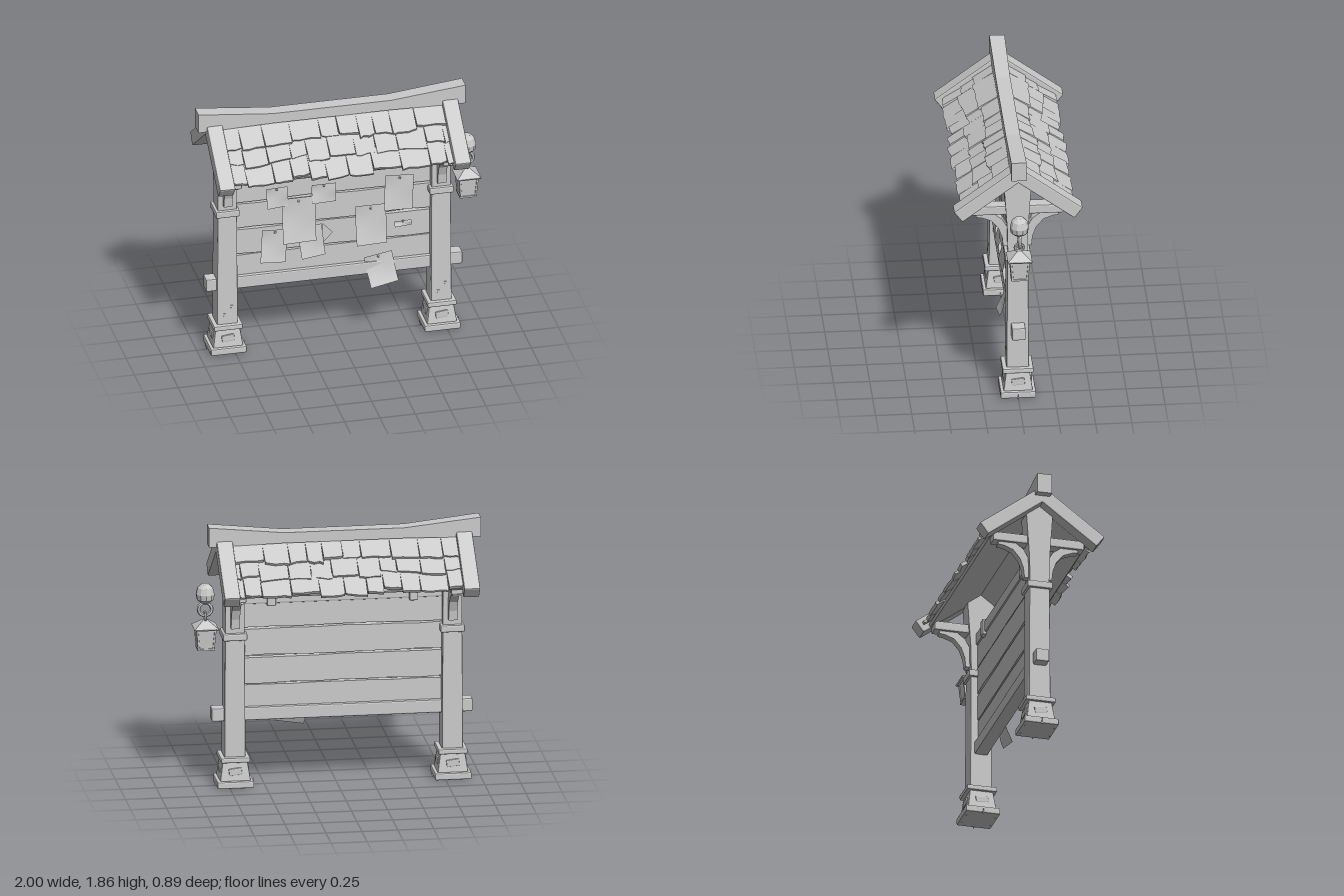
import * as THREE from 'three';
import { RoundedBoxGeometry } from 'three/addons/geometries/RoundedBoxGeometry.js';

const wood = new THREE.MeshStandardMaterial({ color: 0xcccccc, flatShading: true });
const sheet = new THREE.MeshStandardMaterial({ color: 0xcccccc, side: THREE.DoubleSide });

let seed = 7;
const rand = (a, b) => {
  seed = (seed * 16807) % 2147483647;
  return a + (b - a) * (seed / 2147483647);
};

function add(parent, name, geometry, x = 0, y = 0, z = 0, material = wood) {
  const mesh = new THREE.Mesh(geometry, material);
  mesh.name = name;
  mesh.position.set(x, y, z);
  parent.add(mesh);
  return mesh;
}

// Softly chamfered block from y0 to y1, its top scaled by taper
function block(parent, name, w, d, y0, y1, x = 0, z = 0, taper = 1) {
  const h = y1 - y0;
  const geo = new RoundedBoxGeometry(w, h, d, 1, Math.min(0.01, h / 4, w / 4, d / 4));
  const p = geo.attributes.position;
  for (let i = 0; i < p.count; i++) {
    const s = 1 + (taper - 1) * (p.getY(i) / h + 0.5);
    p.setX(i, p.getX(i) * s);
    p.setZ(i, p.getZ(i) * s);
  }
  geo.computeVertexNormals();
  return add(parent, name, geo, x, (y0 + y1) / 2, z);
}

const shapeOf = (pts) => new THREE.Shape(pts.map(([x, y]) => new THREE.Vector2(x, y)));

// Side profile given as [z, y], extruded along x about its centre
function sideProfile(pts, width) {
  const geo = new THREE.ExtrudeGeometry(shapeOf(pts), { depth: width, bevelEnabled: false });
  return geo.rotateY(-Math.PI / 2).translate(width / 2, 0, 0);
}

function buildPost(x) {
  const post = new THREE.Group();
  post.name = 'post';
  post.position.x = x;
  // Stepped footing
  block(post, 'footSlab', 0.255, 0.245, 0.01, 0.06);
  block(post, 'footBlock', 0.215, 0.205, 0.055, 0.195, 0, 0, 0.8);
  block(post, 'footCap', 0.205, 0.215, 0.19, 0.228);
  // Worn stones set in the footing faces
  for (let i = 0; i < 4; i++) {
    const a = (i * Math.PI) / 2;
    const stone = add(post, 'footStone', new RoundedBoxGeometry(0.09, 0.05, 0.02, 1, 0.006),
      Math.sin(a) * 0.093, 0.125, Math.cos(a) * 0.09);
    stone.rotation.set(0, a, 0.12);
  }
  // Shaft, collar and flared head
  block(post, 'shaft', 0.148, 0.156, 0.2, 1.1, 0, 0, 0.93);
  block(post, 'collar', 0.17, 0.18, 1.06, 1.112);
  add(post, 'postHead', sideProfile(
    [[-0.068, 1.1], [0.068, 1.1], [0.072, 1.3], [0.095, 1.64], [0, 1.72], [-0.095, 1.64], [-0.072, 1.3]], 0.132));
  // Tie beam with a curved brace on each side
  block(post, 'tieBeam', 0.09, 0.65, 1.4, 1.468);
  for (const s of [1, -1]) {
    const pts = [[0.06, 1.15], [0.098, 1.15], [0.105, 1.22], [0.13, 1.29], [0.18, 1.35], [0.245, 1.375],
      [0.285, 1.38], [0.285, 1.405], [0.165, 1.405], [0.105, 1.36], [0.06, 1.28]];
    add(post, 'brace', sideProfile(pts.map(([z, y]) => [z * s, y]), 0.06));
  }
  // Chips on the shaft and grass at the foot
  for (const [cx, cy] of [[-0.02, 0.3], [0.03, 0.36]])
    add(post, 'chip', new THREE.DodecahedronGeometry(0.017), cx, cy, 0.073).scale.z = 0.5;
  for (let i = 0; i < 6; i++) {
    const a = i * 1.05 + 0.5;
    const blade = add(post, 'grassBlade', new THREE.ConeGeometry(0.006, 0.05, 3),
      Math.sin(a) * 0.135, 0.03, Math.cos(a) * 0.125);
    blade.rotation.set(Math.cos(a) * 0.4, 0, -Math.sin(a) * 0.4);
  }
  return post;
}

// Plank with ragged long edges
function plank(x0, x1, y0, y1, depth) {
  const low = [], high = [];
  for (let i = 0; i <= 8; i++) {
    const x = x0 + ((x1 - x0) * i) / 8;
    low.push([x, y0 + rand(-0.004, 0.006)]);
    high.unshift([x, y1 + rand(-0.006, 0.004)]);
  }
  return new THREE.ExtrudeGeometry(shapeOf([...low, ...high]), { depth, bevelEnabled: false })
    .translate(0, 0, -depth / 2);
}

// One roof slope; local +z runs down the slope, +y is the outward normal
function buildSlope(side) {
  seed = 41;
  const turn = new THREE.Group();
  turn.name = side > 0 ? 'frontSlope' : 'backSlope';
  turn.rotation.y = side > 0 ? 0 : Math.PI;
  const slope = new THREE.Group();
  slope.position.y = 1.745;
  slope.rotation.x = 0.64;
  turn.add(slope);
  block(slope, 'roofPanel', 1.62, 0.44, -0.045, -0.02, -0.05 * side, 0.235);
  for (const x of [-0.885, 0.782])
    block(slope, 'bargeBeam', 0.112, 0.53, -0.05, 0.05, x * side, 0.255);
  // Three overlapping courses of uneven shingles, lowest first
  [[0.3, 0.475], [0.165, 0.335], [0.02, 0.195]].forEach(([s0, s1], row) => {
    let x = -0.84;
    while (x < 0.73) {
      const w = Math.min(rand(0.11, 0.21), 0.74 - x);
      const end = s1 + rand(-0.025, 0.025), skew = rand(-0.012, 0.012);
      const pts = [[x, -s0], [x + w, -s0], [x + w - 0.003, -end - skew], [x + w * 0.6, -end - rand(-0.008, 0.008)],
        [x + w * 0.25, -end - rand(-0.008, 0.008)], [x + 0.003, -end + skew]];
      const geo = new THREE.ExtrudeGeometry(shapeOf(pts.map(([a, b]) => [a * side, b])),
        { depth: rand(0.016, 0.026), bevelEnabled: false });
      geo.rotateX(-Math.PI / 2).translate(0, 0, -s0);
      const tile = add(slope, 'shingle', geo, 0, -0.018 + row * 0.004, s0);
      tile.rotation.x = -rand(0.03, 0.1);
      x += w;
    }
  });
  return turn;
}

function buildLantern() {
  const lantern = new THREE.Group();
  lantern.name = 'lantern';
  lantern.position.x = 0.91;
  const square = (r0, r1, h) => new THREE.CylinderGeometry(r0 * Math.SQRT2, r1 * Math.SQRT2, h, 4).rotateY(Math.PI / 4);
  const dome = [[0, 1.32], [0.03, 1.322], [0.06, 1.345], [0.066, 1.385], [0.054, 1.43], [0.028, 1.455], [0, 1.46]];
  add(lantern, 'hangerDome', new THREE.LatheGeometry(dome.map(([r, y]) => new THREE.Vector2(r, y)), 10));
  add(lantern, 'hangerRing', new THREE.TorusGeometry(0.046, 0.013, 6, 14), 0, 1.275);
  add(lantern, 'chainLink', new THREE.TorusGeometry(0.03, 0.009, 6, 12).rotateY(Math.PI / 2), 0, 1.225);
  add(lantern, 'lanternRoof', square(0.012, 0.085, 0.055), 0, 1.175);
  add(lantern, 'lanternEave', square(0.085, 0.08, 0.01), 0, 1.143);
  add(lantern, 'lanternBody', square(0.064, 0.052, 0.14), 0, 1.07);
  add(lantern, 'lanternBase', square(0.06, 0.06, 0.012), 0, 0.998);
  for (const sx of [-1, 1]) for (const sz of [-1, 1]) {
    const bar = block(lantern, 'lanternBar', 0.014, 0.014, 1.0, 1.14, sx * 0.057, sz * 0.057);
    bar.rotation.set(sz * 0.085, 0, -sx * 0.085);
  }
  return lantern;
}

// Pinned sheet: centre, size, tilt and curl at the bottom
function addNotice(parent, [x, y, w, h, tilt, curl]) {
  const geo = new THREE.PlaneGeometry(w, h, 5, 6);
  const p = geo.attributes.position;
  for (let i = 0; i < p.count; i++) {
    const drop = 0.5 - p.getY(i) / h, across = p.getX(i) / w;
    p.setZ(i, curl * drop * drop + 0.012 * Math.sin(drop * 5) * across);
  }
  geo.computeVertexNormals();
  add(parent, 'notice', geo, x, y, 0.04, sheet).rotation.z = tilt;
  add(parent, 'pin', new THREE.SphereGeometry(0.009, 8, 6), x - Math.sin(tilt) * h * 0.42, y + h * 0.42, 0.044);
}

export function createModel() {
  const model = new THREE.Group();
  model.name = 'noticeBoard';
  for (const x of [-0.8, 0.713]) model.add(buildPost(x));

  // Rails, clips and planks
  block(model, 'lowerRail', 1.815, 0.095, 0.475, 0.57, -0.037);
  block(model, 'upperRail', 1.42, 0.07, 1.305, 1.395, -0.045);
  for (const x of [-0.535, 0.455]) block(model, 'railClip', 0.062, 0.1, 1.288, 1.408, x);
  for (const [y0, y1] of [[0.56, 0.724], [0.734, 0.922], [0.936, 1.126], [1.134, 1.312]])
    add(model, 'plank', plank(-0.76, 0.67, y0, y1, rand(0.042, 0.054)));

  // Notices
  [[-0.288, 0.965, 0.235, 0.33, 0, 0.04], [0.222, 0.865, 0.215, 0.29, 0, 0.035],
    [0.42, 1.09, 0.2, 0.26, -0.05, 0.02], [0.29, 0.515, 0.2, 0.215, 0.17, 0.06],
    [-0.465, 0.78, 0.18, 0.24, -0.1, 0.03], [-0.2, 0.785, 0.17, 0.23, 0.1, 0.03],
    [-0.44, 1.15, 0.15, 0.15, 0.05, 0.01], [-0.11, 1.145, 0.17, 0.14, 0, 0.01],
    [0.45, 0.84, 0.12, 0.04, 0.03, 0.005]].forEach((n) => addNotice(model, n));
  add(model, 'paperScrap', new THREE.ShapeGeometry(shapeOf([[-0.12, 0.91], [-0.12, 0.75], [-0.045, 0.83]])), 0, 0, 0.036, sheet);

  // Roof slopes and the ridge beam with upswept ends
  model.add(buildSlope(1), buildSlope(-1));
  const ridge = new THREE.BoxGeometry(1.89, 0.085, 0.1, 18, 1, 1);
  const p = ridge.attributes.position;
  for (let i = 0; i < p.count; i++) {
    const lift = Math.max(0, (Math.abs(p.getX(i)) - 0.42) / 0.525);
    p.setY(i, p.getY(i) + (p.getY(i) > 0 ? 0.055 * lift : 0.01 * (1 - lift)));
    p.setZ(i, p.getZ(i) * (1 + 0.06 * lift));
  }
  ridge.computeVertexNormals();
  add(model, 'ridgeBeam', ridge, -0.055, 1.772, 0);

  model.add(buildLantern());
  return model;
}
